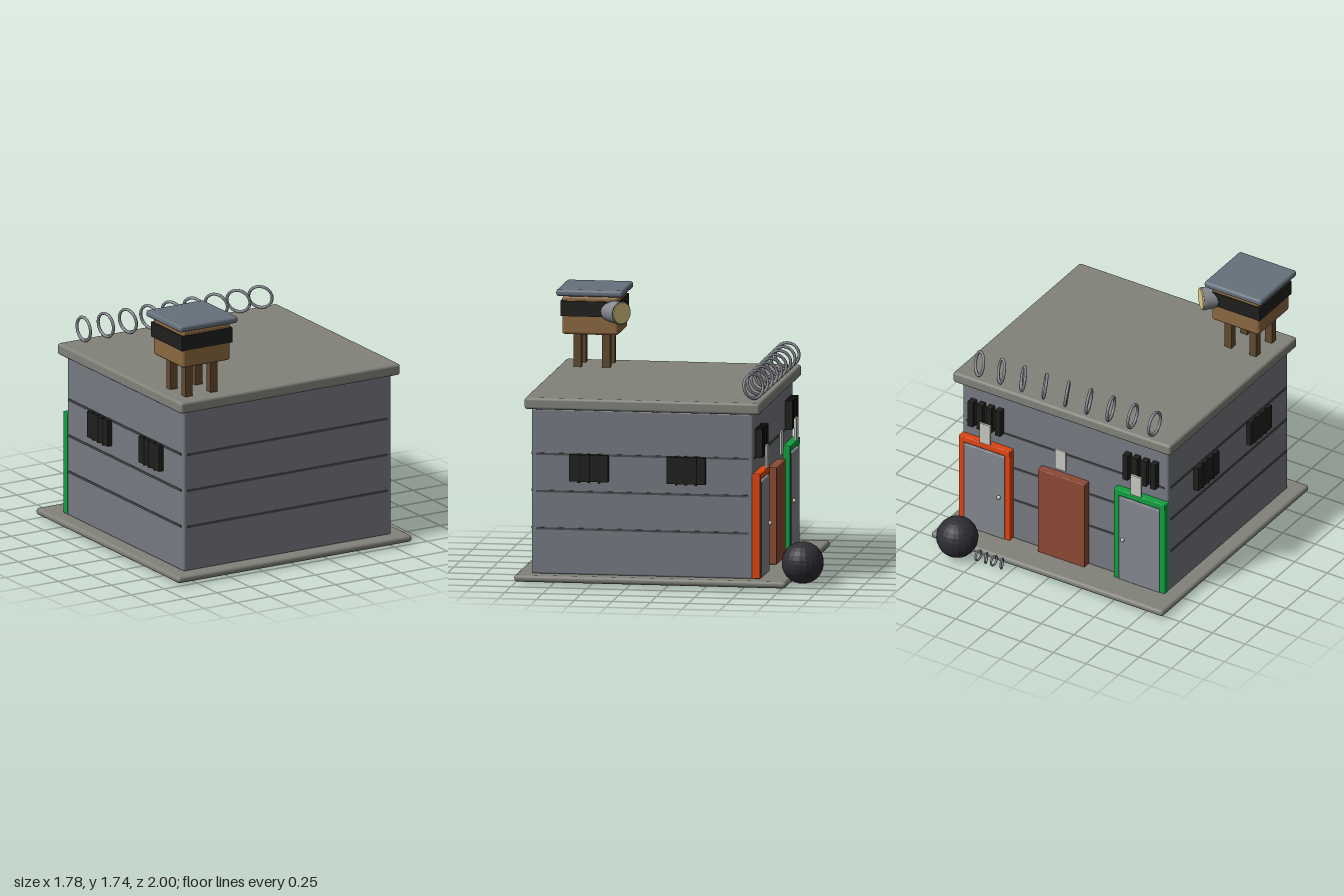
import * as THREE from 'three';
import { RoundedBoxGeometry } from 'three/addons/geometries/RoundedBoxGeometry.js';

const mat = (color, extra = {}) => new THREE.MeshStandardMaterial({ color, ...extra });
const M = {
  wall: mat(0x757a82), concrete: mat(0x82827b), groove: mat(0x4a4c4e), black: mat(0x1f1f1d),
  metal: mat(0x858990), orange: mat(0xdd4510), green: mat(0x0f9f40), brown: mat(0x8c4a34),
  door: mat(0x83878e), plaque: mat(0xc8c8c2), wood: mat(0x8b6840), leg: mat(0x614a30),
  towerRoof: mat(0x66717c), lens: mat(0xe3d089), ball: mat(0x2f2e34, { flatShading: true }),
};

function add(parent, name, geometry, material, x, y, z) {
  const mesh = new THREE.Mesh(geometry, material);
  mesh.name = name;
  mesh.position.set(x, y, z);
  parent.add(mesh);
  return mesh;
}

// Box given by its limits on each axis; r rounds the edges
function box(parent, name, material, [x0, x1], [y0, y1], [z0, z1], r = 0) {
  const size = [x1 - x0, y1 - y0, z1 - z0];
  const geometry = r ? new RoundedBoxGeometry(...size, 2, r) : new THREE.BoxGeometry(...size);
  return add(parent, name, geometry, material, (x0 + x1) / 2, (y0 + y1) / 2, (z0 + z1) / 2);
}

function group(parent, name, x = 0, y = 0, z = 0) {
  const g = new THREE.Group();
  g.name = name;
  g.position.set(x, y, z);
  parent.add(g);
  return g;
}

function building(root) {
  const g = group(root, 'building');
  box(g, 'foundation', M.concrete, [-0.89, 0.89], [0.015, 0.06], [-0.79, 1], 0.02);
  box(g, 'walls', M.wall, [-0.79, 0.79], [0.055, 1.145], [-0.56, 0.9], 0.015);
  box(g, 'roofSlab', M.concrete, [-0.835, 0.835], [1.143, 1.22], [-0.61, 0.94], 0.018);
  // Horizontal grooves around all four walls
  for (const y of [0.357, 0.602, 0.847]) {
    const h = [y - 0.007, y + 0.007];
    box(g, 'frontGroove', M.groove, [-0.76, 0.76], h, [0.895, 0.905]);
    box(g, 'backGroove', M.groove, [-0.76, 0.76], h, [-0.565, -0.555]);
    for (const s of [-1, 1]) box(g, 'sideGroove', M.groove, [s * 0.79 - 0.005, s * 0.79 + 0.005], h, [-0.53, 0.87]);
  }
}

// Two barred windows on each side wall
function sideWindows(root) {
  for (const s of [-1, 1]) for (const z of [0.518, -0.122]) {
    const g = group(root, 'sideWindow', s * 0.79, 0.763, z);
    add(g, 'pane', new THREE.BoxGeometry(0.07, 0.176, 0.256), M.black, 0, 0, 0);
    for (const dz of [-0.065, 0, 0.065])
      add(g, 'bar', new THREE.CylinderGeometry(0.008, 0.008, 0.192, 8), M.black, s * 0.029, 0, dz);
  }
}

// Framed door with knob, plaque and barred window above it
function framedDoor(root, x, material, knobSide) {
  const g = group(root, 'framedDoor', x);
  for (const s of [-1, 1]) {
    const c = s * 0.175;
    box(g, 'jamb', material, [c - 0.02, c + 0.02], [0.06, 0.75], [-0.606, -0.55], 0.006);
  }
  box(g, 'lintel', material, [-0.195, 0.195], [0.705, 0.75], [-0.608, -0.55], 0.006);
  box(g, 'doorLeaf', M.door, [-0.157, 0.157], [0.06, 0.695], [-0.61, -0.55], 0.006);
  add(g, 'knob', new THREE.SphereGeometry(0.014, 12, 8), M.plaque, knobSide * 0.12, 0.38, -0.62);
  box(g, 'windowPane', M.black, [-0.115, 0.115], [0.87, 1.01], [-0.58, -0.55]);
  for (let i = 0; i < 4; i++) {
    const c = -0.105 + i * 0.07;
    box(g, 'windowBar', M.black, [c - 0.02, c + 0.02], [0.845, 1.035], [-0.61, -0.56]);
  }
}

function doors(root) {
  framedDoor(root, 0.595, M.orange, -1);
  framedDoor(root, -0.595, M.green, 1);
  box(root, 'plainDoor', M.brown, [-0.18, 0.18], [0.06, 0.7], [-0.615, -0.55], 0.006);
  // Blank plaques over the doors
  for (const x of [-0.58, 0, 0.58])
    box(root, 'plaque', M.plaque, [x - 0.04, x + 0.04], [0.76, 0.91], [-0.624, -0.61]);
}

// Coiled wire: rings turning steadily along the back edge of the roof
function wireCoil(root) {
  const g = group(root, 'wireCoil');
  for (let i = 0; i < 9; i++) {
    const ring = add(g, 'wireRing', new THREE.TorusGeometry(0.078, 0.01, 8, 28), M.metal,
      -0.673 + i * 0.168, 1.307, -0.542);
    ring.rotation.set(0.3, 0.05 + i * 0.1 - Math.PI / 2, 0);
  }
}

function watchtower(root) {
  const g = group(root, 'watchtower', -0.616, 0, 0.716);
  for (const x of [-0.095, 0.095]) for (const z of [-0.095, 0.095])
    box(g, 'towerLeg', M.leg, [x - 0.026, x + 0.026], [1.21, 1.46], [z - 0.026, z + 0.026]);
  box(g, 'cabin', M.wood, [-0.183, 0.183], [1.44, 1.695], [-0.186, 0.186], 0.02);
  box(g, 'windowBand', M.black, [-0.193, 0.193], [1.562, 1.662], [-0.193, 0.193]);
  box(g, 'towerRoof', M.towerRoof, [-0.22, 0.22], [1.695, 1.74], [-0.22, 0.22], 0.018);

  // Searchlight on the inner corner, aimed over the roof
  const light = group(g, 'searchlight', 0.18, 1.598, -0.153);
  light.rotation.y = Math.PI * 0.76;
  const tube = add(light, 'lampHousing', new THREE.CylinderGeometry(0.076, 0.063, 0.17, 24), M.metal, 0, 0, 0);
  const lens = add(light, 'lens', new THREE.CylinderGeometry(0.07, 0.07, 0.014, 24), M.lens, 0, 0, 0.086);
  tube.rotation.x = lens.rotation.x = Math.PI / 2;
}

function ballAndChain(root) {
  const g = group(root, 'ballAndChain');
  add(g, 'ironBall', new THREE.SphereGeometry(0.138, 20, 14), M.ball, 0.64, 0.152, -0.862);
  for (let i = 0; i < 4; i++) {
    const link = add(g, 'chainLink', new THREE.TorusGeometry(0.033, 0.007, 8, 18), M.metal,
      0.318 + i * 0.06, 0.04, -0.832);
    link.rotation.y = (i % 2 ? -0.05 : 0.35) - Math.PI / 2;
  }
}

export function createModel() {
  const root = new THREE.Group();
  root.name = 'guardedBlockhouse';
  for (const build of [building, sideWindows, doors, wireCoil, watchtower, ballAndChain]) build(root);
  return root;
}
